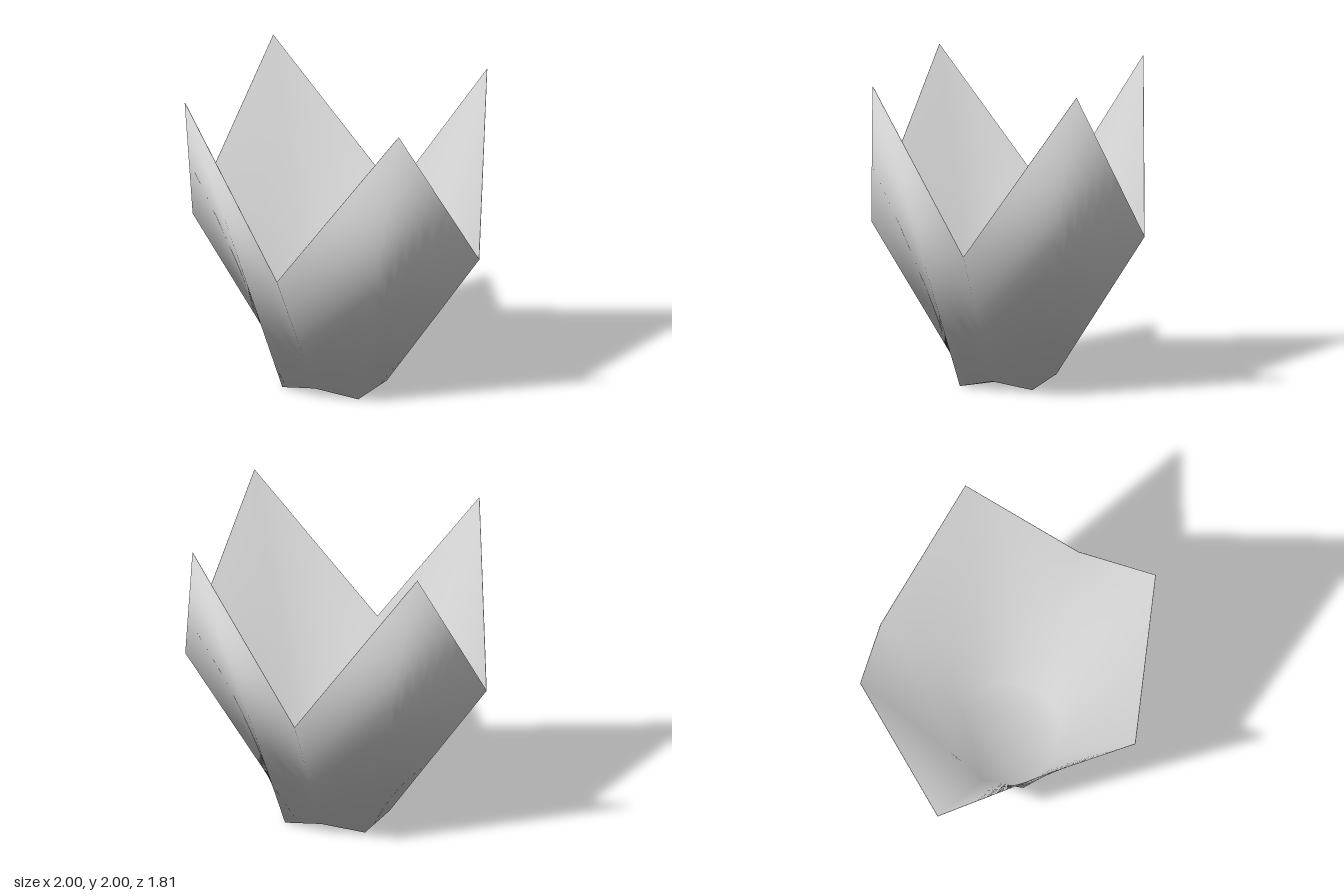
import * as THREE from 'three';

// Four-petalled cup: a base ring and a rim ring of eight points each,
// with the rim rising to a tip on every diagonal.
const DEPTH = 0.905; // the cup is slightly shallower in z than wide in x
const THICKNESS = 0.004;
const STEPS = 10; // subdivisions of each twisted wall panel

// Points alternate between axis (even) and diagonal (odd).
function ring(axisRadius, axisY, tipOffset, tipY) {
  return Array.from({ length: 8 }, (_, i) => {
    const a = (i * Math.PI) / 4;
    const tip = i % 2 === 1;
    const r = tip ? tipOffset * Math.SQRT2 : axisRadius;
    return new THREE.Vector3(Math.cos(a) * r, tip ? tipY : axisY, Math.sin(a) * r * DEPTH);
  });
}

// Smooth corner normals, each face weighted by its corner angle so the thin rim rounds over
function smoothNormals(points, faces) {
  const normals = points.map(() => new THREE.Vector3());
  for (const face of faces) {
    const p = face.map((i) => points[i]);
    const n = p.length;
    const normal = p[2].clone().sub(p[0]).cross(p[3 % n].clone().sub(p[1])).normalize();
    face.forEach((v, k) => {
      const toNext = p[(k + 1) % n].clone().sub(p[k]);
      const toLast = p[(k + n - 1) % n].clone().sub(p[k]);
      normals[v].addScaledVector(normal, toNext.angleTo(toLast));
    });
  }
  return normals.map((n) => n.normalize());
}

// Point of a four-cornered patch, blended from its corners
function blend([a, b, c, d], u, v) {
  return a.clone().lerp(b, u).lerp(d.clone().lerp(c, u), v);
}

// Turns triangles and twisted quads into one smooth geometry
function buildGeometry(points, faces) {
  const normals = smoothNormals(points, faces);
  const position = [];
  const normal = [];
  const index = [];
  for (const face of faces) {
    const start = position.length / 3;
    const p = face.map((i) => points[i]);
    const n = face.map((i) => normals[i]);
    if (face.length === 3) {
      p.forEach((q) => position.push(...q));
      n.forEach((q) => normal.push(...q));
      index.push(start, start + 1, start + 2);
      continue;
    }
    for (let r = 0; r <= STEPS; r++) {
      for (let s = 0; s <= STEPS; s++) {
        position.push(...blend(p, s / STEPS, r / STEPS));
        normal.push(...blend(n, s / STEPS, r / STEPS).normalize());
        if (r === STEPS || s === STEPS) continue;
        const a = start + r * (STEPS + 1) + s;
        const d = a + STEPS + 1;
        index.push(a, a + 1, d + 1, a, d + 1, d);
      }
    }
  }
  const geometry = new THREE.BufferGeometry();
  geometry.setAttribute('position', new THREE.Float32BufferAttribute(position, 3));
  geometry.setAttribute('normal', new THREE.Float32BufferAttribute(normal, 3));
  geometry.setIndex(index);
  return geometry;
}

export function createModel() {
  const grey = new THREE.MeshStandardMaterial({ color: 0xcccccc });
  grey.name = 'light grey';

  const outer = [...ring(0.355, 0.06, 0.265, 0), ...ring(1, 0.98, 0.747, 2)];
  const outerFaces = [];

  // Petal walls, two twisted panels to each petal
  for (let i = 0; i < 8; i++) {
    const j = (i + 1) % 8;
    outerFaces.push([i, i + 8, j + 8, j]);
  }

  // Floor, fanned from the back point of the base ring
  const back = 6;
  for (let k = 1; k < 7; k++) outerFaces.push([back, (back + k) % 8, (back + k + 1) % 8]);

  // Inner skin, just inside the outer one
  const outward = smoothNormals(outer, outerFaces);
  const inner = outer.map((p, i) => p.clone().addScaledVector(outward[i], -THICKNESS));
  const innerFaces = outerFaces.map((face) => face.map((i) => i + 16).reverse());

  // Narrow rim joining the two skins
  const rimFaces = [];
  for (let i = 8; i < 16; i++) {
    const j = 8 + ((i + 1) % 8);
    rimFaces.push([j, i, i + 16, j + 16]);
  }

  const geometry = buildGeometry([...outer, ...inner], [...outerFaces, ...innerFaces, ...rimFaces]);
  const cup = new THREE.Mesh(geometry, grey);
  cup.name = 'petalCup';

  const group = new THREE.Group();
  group.name = 'flowerCup';
  group.add(cup);
  return group;
}
